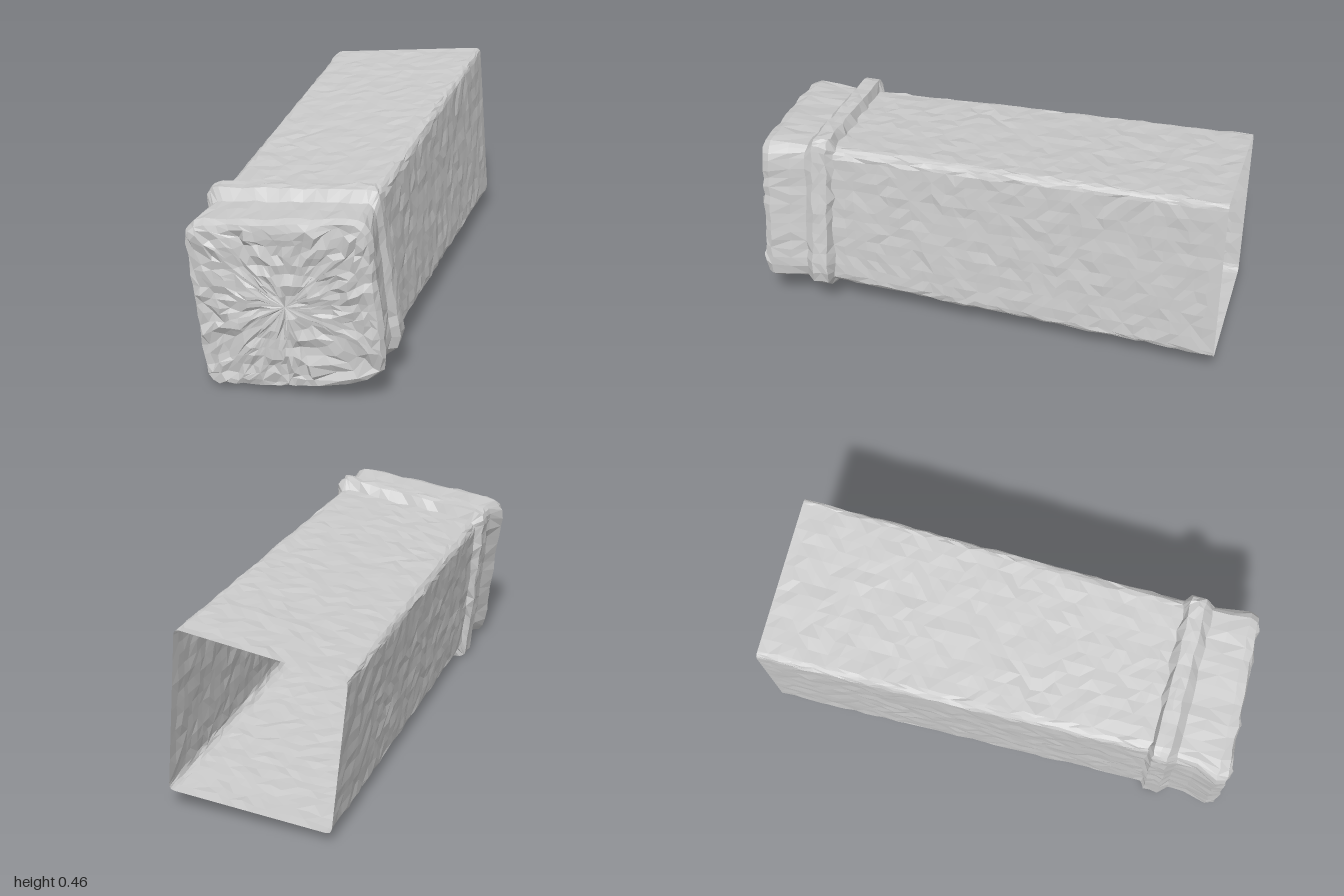
import * as THREE from 'three';

const SIDE = 12, ARC = 4;                 // points per straight side, per corner
const hash = (a, b, c) => {
  const s = Math.sin(a * 12.99 + b * 78.23 + c * 37.72) * 43758.5453;
  return (s - Math.floor(s)) * 2 - 1;
};

// Cross-sections: z, corners (top left, top right, bottom right, bottom left as
// seen from the front), corner radius, and the worn cut on the bottom right.
const section = (z, corners, r, cutUp = r, cutAcross = r) => ({ z, corners, cuts: [[r, r], [r, r], [cutUp, cutAcross], [r, r]] });

const back = section(-0.125, [[-0.295, 0.517], [0.102, 0.566], [0.135, 0.16], [-0.255, 0.135]], 0.015);
const neck = section(0.805, [[-0.277, 0.502], [0.092, 0.545], [0.127, 0.18], [-0.245, 0.135]], 0.025, 0.035, 0.05);
const collarAt = z => section(z, [[-0.296, 0.525], [0.101, 0.568], [0.158, 0.162], [-0.256, 0.106]], 0.03, 0.06, 0.14);
const waist = section(0.872, [[-0.28, 0.503], [0.096, 0.543], [0.14, 0.165], [-0.244, 0.138]], 0.03, 0.06, 0.13);
const flare = section(0.915, [[-0.284, 0.503], [0.1, 0.544], [0.143, 0.16], [-0.246, 0.134]], 0.035, 0.06, 0.14);
const lip = section(0.965, [[-0.302, 0.5], [0.11, 0.546], [0.158, 0.156], [-0.256, 0.108]], 0.045, 0.07, 0.15);
const face = section(0.984, [[-0.294, 0.495], [0.105, 0.54], [0.151, 0.16], [-0.25, 0.115]], 0.045, 0.07, 0.15);

// Rounded four-cornered outline, counter-clockwise seen from the front
function outline({ corners, cuts, z }) {
  const c = corners.map(p => new THREE.Vector2(...p));
  const toward = (a, b, d) => b.clone().sub(a).setLength(d).add(a);
  const arcs = [3, 2, 1, 0].map(i => {
    const start = toward(c[i], c[(i + 1) % 4], cuts[i][1]);
    const end = toward(c[i], c[(i + 3) % 4], cuts[i][0]);
    return new THREE.QuadraticBezierCurve(start, c[i], end).getPoints(ARC);
  });
  // the bottom right cut is longer along the bottom edge than up the side
  const pts = [];
  arcs.forEach((arc, k) => {
    pts.push(...arc);
    const from = arc[ARC], to = arcs[(k + 1) % 4][0];
    for (let i = 1; i < SIDE; i++) pts.push(from.clone().lerp(to, i / SIDE));
  });
  return pts.map(p => new THREE.Vector3(p.x, p.y, z));
}

// Uneven stone: small seeded shifts, stronger along z on the broken front
function roughen(p, i, amount, zAmount) {
  const k = Math.round(p.z * 1000), h = Math.round(p.x * 500);
  return new THREE.Vector3(
    p.x + hash(i, k, 1 + h) * amount,
    p.y + hash(i, k, 2 + h) * amount,
    p.z + hash(i, k, 3 + h) * zAmount
  );
}

// Skin between successive loops of equal length
function loft(name, loops) {
  const n = loops[0].length, index = [];
  for (let j = 0; j < loops.length - 1; j++)
    for (let i = 0; i < n; i++) {
      const a = j * n + i, b = j * n + (i + 1) % n;
      if (hash(i, j, 5) > 0) index.push(a, b, b + n, a, b + n, a + n);
      else index.push(a, b, a + n, b, b + n, a + n);
    }
  const geometry = new THREE.BufferGeometry().setFromPoints(loops.flat());
  geometry.setIndex(index);
  geometry.computeVertexNormals();
  const mesh = new THREE.Mesh(geometry, new THREE.MeshStandardMaterial({
    color: 0xcccccc, flatShading: true, side: THREE.DoubleSide
  }));
  mesh.name = name;
  return mesh;
}

// Outlines blended from one section to the next
function between(a, b, steps) {
  const A = outline(a), B = outline(b);
  return Array.from({ length: steps + 1 }, (_, s) => A.map((p, i) => p.clone().lerp(B[i], s / steps)));
}

export function createModel() {
  const group = new THREE.Group();
  group.name = 'stoneBlock';

  // Long hollow shaft, open at the back
  const shaft = between(back, neck, 34).map((loop, j) =>
    loop.map((p, i) => roughen(p, i, j === 0 ? 0 : 0.0022, j === 0 ? 0 : 0.006)));
  group.add(loft('shaft', shaft));

  // Raised band around the shaft
  const band = [neck, collarAt(0.817), collarAt(0.834), collarAt(0.852), waist]
    .map(s => outline(s).map((p, i) => roughen(p, i, 0.0025, 0.003)));
  band[0] = shaft[shaft.length - 1];
  group.add(loft('collar', band));

  // Flared head with a slightly slanted front edge
  const slant = (p, w) => { p.z -= 0.045 * (p.x + 0.08) * w; return p; };
  const head = [waist, flare, lip, face]
    .map((s, j) => outline(s).map((p, i) => slant(roughen(p, i, 0.0025, 0.003), j / 3)));
  head[0] = band[band.length - 1];
  group.add(loft('head', head));

  // Broken front surface: loops shrinking to the middle
  const rim = head[head.length - 1];
  const centre = new THREE.Vector3(-0.07, 0.328, 0.986);
  const rings = [1, 0.93, 0.84, 0.74, 0.63, 0.52, 0.4, 0.28, 0.14, 0].map((s, j) =>
    rim.map((p, i) => {
      if (j === 0) return p;
      const q = centre.clone().lerp(p, s);
      if (s === 0) return q;
      // neighbours share a shift near the middle so facets stay broad
      const cell = Math.floor(i * Math.min(1, s + 0.15));
      q.x += hash(cell, j, 1) * 0.008 * s;
      q.y += hash(cell, j, 2) * 0.008 * s;
      q.z += 0.003 + hash(cell, j, 3) * 0.006;
      return q;
    }));
  group.add(loft('frontFace', rings));

  return group;
}
